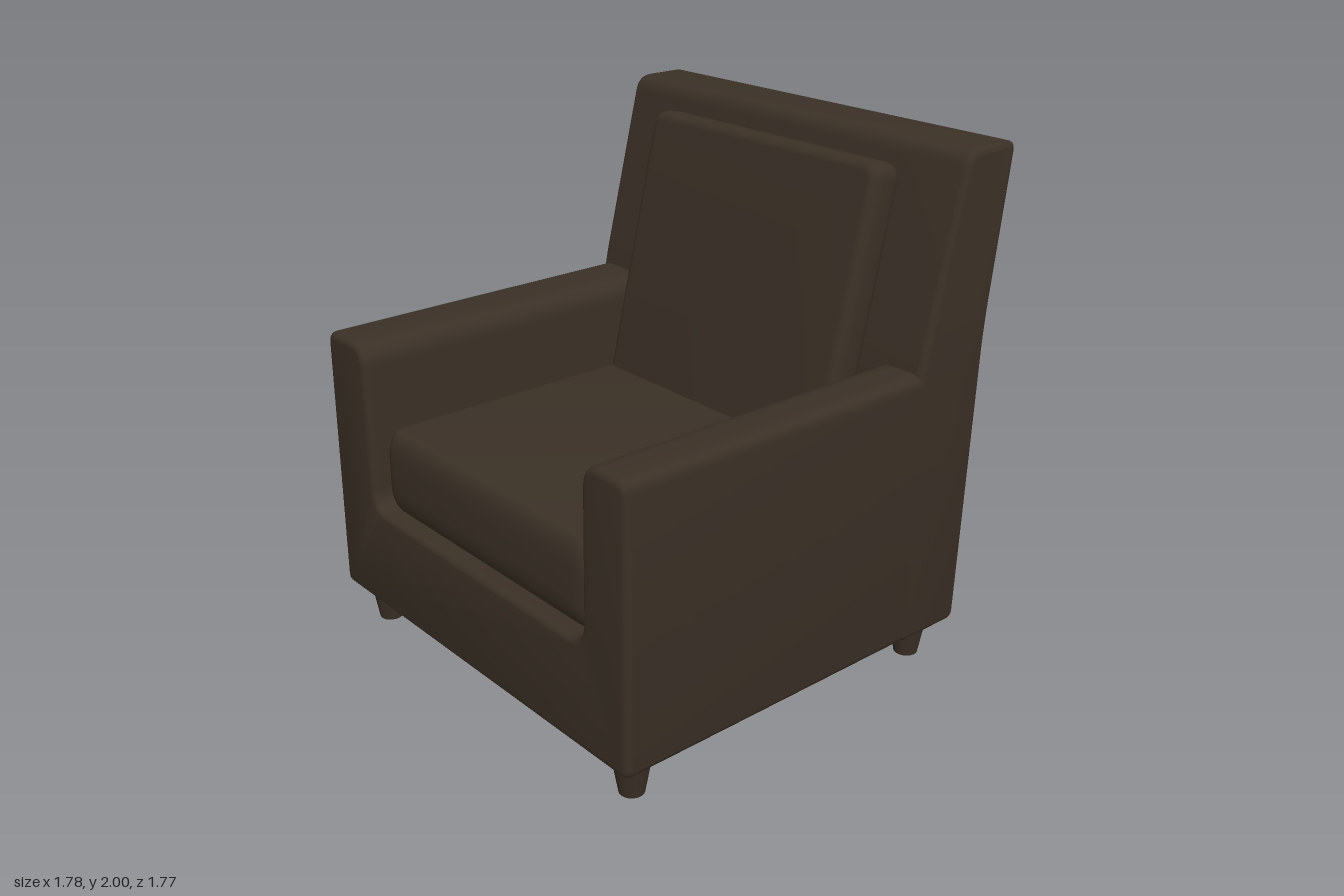
import * as THREE from 'three';
import { toCreasedNormals } from 'three/addons/utils/BufferGeometryUtils.js';

const upholstery = new THREE.MeshStandardMaterial({ color: 0x3a3026 });
upholstery.name = 'dark brown upholstery';

// Closed outline from corners [x, y, rounding]
function roundedShape(corners) {
  const shape = new THREE.Shape();
  const n = corners.length;
  corners.forEach(([x, y, r], i) => {
    const p = new THREE.Vector2(x, y);
    const toward = ([a, b]) => {
      const d = new THREE.Vector2(a, b).sub(p);
      return d.setLength(r).add(p);
    };
    const s = toward(corners[(i + n - 1) % n]);
    const e = toward(corners[(i + 1) % n]);
    if (i === 0) shape.moveTo(s.x, s.y);
    else shape.lineTo(s.x, s.y);
    shape.quadraticCurveTo(x, y, e.x, e.y);
  });
  shape.closePath();
  return shape;
}

// Soft-edged extrusion, centred on z, kept within the outline
function padded(corners, depth, bevelSize, bevelThickness = bevelSize) {
  const geo = new THREE.ExtrudeGeometry(roundedShape(corners), {
    depth: depth - 2 * bevelThickness,
    bevelEnabled: true,
    bevelSize,
    bevelThickness,
    bevelOffset: -bevelSize,
    bevelSegments: 6,
    curveSegments: 8,
  });
  geo.translate(0, 0, bevelThickness - depth / 2);
  return toCreasedNormals(geo, 0.6);
}

const rect = (w, h, r) => [
  [-w / 2, -h / 2, r], [w / 2, -h / 2, r], [w / 2, h / 2, r], [-w / 2, h / 2, r],
];

export function createModel() {
  const chair = new THREE.Group();
  chair.name = 'armchair';
  const add = (name, geometry, x, y, z) => {
    const mesh = new THREE.Mesh(geometry, upholstery);
    mesh.name = name;
    mesh.position.set(x, y, z);
    chair.add(mesh);
    return mesh;
  };

  // Arms and base: one U-shaped section running front to back
  add('armsAndBase', padded([
    [-0.89, 0.15, 0.04], [0.89, 0.15, 0.04],
    [0.89, 1.225, 0.05], [0.67, 1.225, 0.09],
    [0.66, 0.565, 0.08], [-0.625, 0.565, 0.08],
    [-0.635, 1.225, 0.09], [-0.89, 1.225, 0.05],
  ], 1.59, 0.027, 0.03), 0, 0, 0.095);

  // Backrest: side profile in (-z, y), extruded across the width
  const back = padded([
    [0.43, 0.15, 0.04], [0.74, 0.15, 0.04], [0.795, 1.33, 0.12],
    [0.885, 2, 0.04], [0.64, 2, 0.06], [0.455, 1.25, 0.06], [0.43, 1.1, 0.06],
  ], 1.78, 0.025);
  back.rotateY(Math.PI / 2);
  add('backrest', back, 0, 0, 0);

  // Seat cushion, softly rounded top and bottom
  const seat = padded(rect(1.26, 1.28, 0.09), 0.335, 0.05, 0.11);
  seat.rotateX(-Math.PI / 2);
  add('seatCushion', seat, 0.017, 0.73, 0.21);

  // Back cushion leaning on the backrest
  const cushion = add('backCushion', padded(rect(1.21, 1.15, 0.07), 0.145, 0.04, 0.05), 0.02, 1.36, -0.41);
  cushion.rotation.x = -0.231;

  // Tapered legs
  const leg = new THREE.CylinderGeometry(0.075, 0.046, 0.17, 24);
  for (const [end, z] of [['front', 0.77], ['back', -0.615]]) {
    for (const [side, x] of [['Left', 0.768], ['Right', -0.768]]) {
      add(`${end}${side}Leg`, leg, x, 0.085, z);
    }
  }

  return chair;
}
